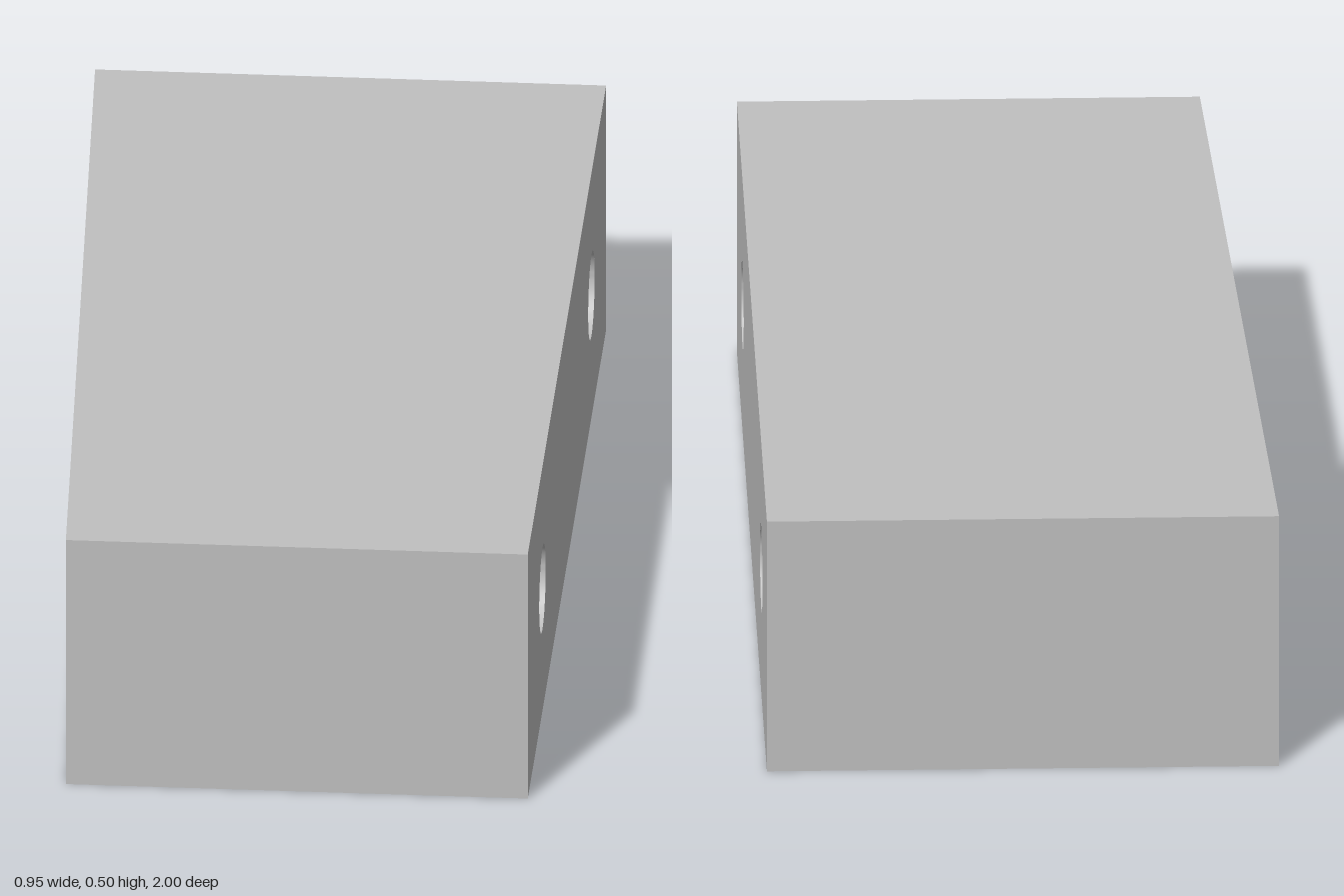
import * as THREE from 'three';
import { toCreasedNormals } from 'three/addons/utils/BufferGeometryUtils.js';

const HEIGHT = 0.5, MID = HEIGHT / 2, RIGHT = 0.473, SEGMENTS = 64;
const BORE_Z = 0.625, SMALL_R = 0.083, LARGE_R = 0.173, CENTRE_R = 0.123;
const STEP_X = 0.2, CENTRE_FLOOR_X = 0.1;

// The -x face leans: wider at the back than at the front
const slantX = (z) => -0.4275 + 0.0455 * z;

// Move every vertex left of the middle onto the slanted plane
function slant(geometry) {
  const p = geometry.attributes.position;
  for (let i = 0; i < p.count; i++) {
    if (p.getX(i) < -0.3) p.setX(i, slantX(p.getZ(i)));
  }
  return geometry;
}

// Rectangular side face pierced by round holes, each [z, radius]
function piercedFace(holes) {
  const shape = new THREE.Shape();
  shape.moveTo(-1, 0).lineTo(1, 0).lineTo(1, HEIGHT).lineTo(-1, HEIGHT).closePath();
  for (const [z, r] of holes) {
    shape.holes.push(new THREE.Path().absarc(z, MID, r, 0, Math.PI * 2, true));
  }
  return new THREE.ShapeGeometry(shape, SEGMENTS);
}

// Inner wall of a bore along x; profile of [radius, x] runs from +x to -x
function bore(profile, z) {
  const points = profile.map(([r, x]) => new THREE.Vector2(r, x));
  const geometry = new THREE.LatheGeometry(points, SEGMENTS);
  geometry.rotateZ(-Math.PI / 2).translate(0, MID, z);
  return toCreasedNormals(slant(geometry), Math.PI / 6);
}

export function createModel() {
  const group = new THREE.Group();
  group.name = 'wedgeBlock';
  const grey = new THREE.MeshStandardMaterial({ color: 0xc0c0c0 });
  grey.name = 'grey';
  const add = (name, geometry) => {
    const mesh = new THREE.Mesh(geometry, grey);
    mesh.name = name;
    group.add(mesh);
  };

  // Top, bottom, front and back: a box without its two x faces
  const shell = new THREE.BoxGeometry(RIGHT * 2, HEIGHT, 2);
  shell.translate(0, MID, 0);
  shell.setIndex(Array.from(shell.index.array).slice(12));
  shell.clearGroups();
  add('outerWalls', slant(shell));

  // Straight face with the two screw holes
  const straight = piercedFace([[-BORE_Z, SMALL_R], [BORE_Z, SMALL_R]]);
  add('straightFace', straight.rotateY(Math.PI / 2).translate(RIGHT, 0, 0));

  // Slanted face with two counterbores and a central hole
  const slanted = piercedFace([[-BORE_Z, LARGE_R], [0, CENTRE_R], [BORE_Z, LARGE_R]]);
  slant(slanted.rotateY(-Math.PI / 2).translate(-0.4275, 0, 0));
  slanted.computeVertexNormals();
  add('slantedFace', slanted);

  // Stepped through bores
  for (const side of [-1, 1]) {
    const profile = [[SMALL_R, RIGHT], [SMALL_R, STEP_X], [LARGE_R, STEP_X], [LARGE_R, -0.4275]];
    add(side < 0 ? 'backScrewBore' : 'frontScrewBore', bore(profile, side * BORE_Z));
  }

  // Blind central bore
  add('centreBore', bore([[0, CENTRE_FLOOR_X], [CENTRE_R, CENTRE_FLOOR_X], [CENTRE_R, -0.4275]], 0));

  return group;
}
